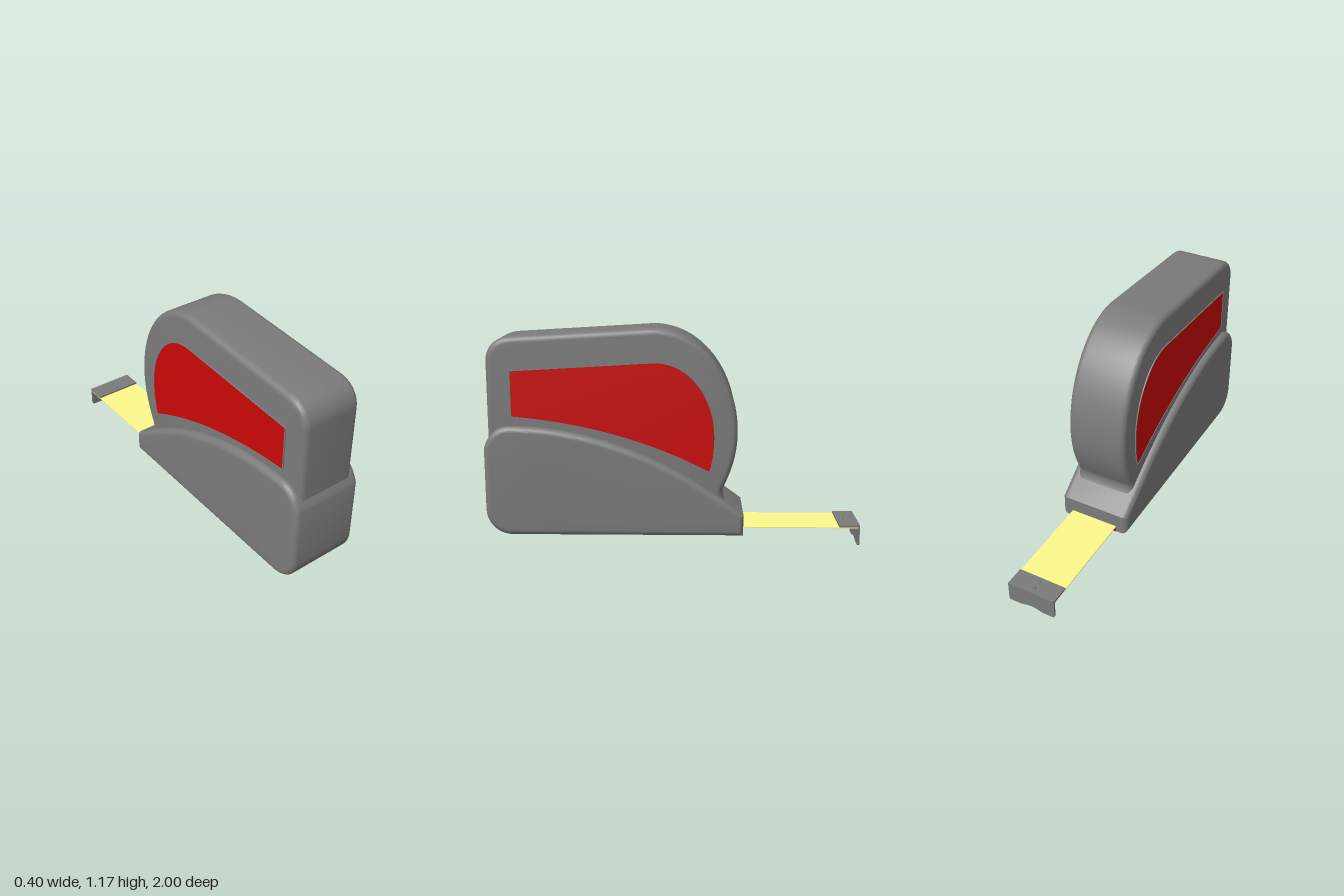
import * as THREE from 'three';
import { toCreasedNormals } from 'three/addons/utils/BufferGeometryUtils.js';

const grey = new THREE.MeshStandardMaterial({ color: 0x7b7b7b });
const red = new THREE.MeshStandardMaterial({ color: 0xcb0808 });
const yellow = new THREE.MeshStandardMaterial({ color: 0xfdf88b });

// Extrudes a side profile (drawn as -z, y) across x from x0 to x1.
function sideExtrude(shape, x0, x1, bevel) {
  const g = new THREE.ExtrudeGeometry(shape, {
    depth: x1 - x0 - 2 * bevel, curveSegments: 24,
    bevelEnabled: bevel > 0, bevelThickness: bevel, bevelSize: bevel,
    bevelOffset: -bevel, bevelSegments: 6,
  });
  g.translate(0, 0, x0 + bevel);
  g.rotateY(Math.PI / 2);
  return toCreasedNormals(g, 0.5);
}

export function createModel() {
  const model = new THREE.Group();
  model.name = 'tapeMeasure';
  const add = (name, geometry, material) => {
    const mesh = new THREE.Mesh(geometry, material);
    mesh.name = name;
    model.add(mesh);
    return mesh;
  };
  const box = (name, w, h, d, x, y, z, material) =>
    add(name, new THREE.BoxGeometry(w, h, d), material).position.set(x, y, z);

  // Upper case: sloping top running into a round back
  const upper = new THREE.Shape();
  upper.moveTo(-0.98, 0.35);
  upper.lineTo(0.22, 0.2);
  upper.lineTo(0.29, 0.23);
  upper.quadraticCurveTo(0.24, 0.28, 0.265, 0.325);
  upper.bezierCurveTo(0.31, 0.42, 0.337, 0.51, 0.337, 0.62);
  upper.bezierCurveTo(0.337, 0.92, 0.14, 1.17, -0.11, 1.17);
  upper.lineTo(-0.85, 1.126);
  upper.bezierCurveTo(-0.93, 1.12, -0.98, 1.07, -0.98, 0.99);
  upper.closePath();
  add('upperCase', sideExtrude(upper, -0.165, 0.165, 0.032), grey);

  // Lower case: wider grip with a curved top falling to the nose
  const lower = new THREE.Shape();
  lower.moveTo(-0.86, 0.067);
  lower.lineTo(0.372, 0.067);
  lower.lineTo(0.372, 0.18);
  lower.lineTo(0.24, 0.277);
  lower.quadraticCurveTo(-0.3, 0.658, -0.87, 0.658);
  lower.quadraticCurveTo(-0.965, 0.65, -1, 0.54);
  lower.lineTo(-1, 0.21);
  lower.bezierCurveTo(-1, 0.13, -0.94, 0.067, -0.86, 0.067);
  add('lowerCase', sideExtrude(lower, -0.2, 0.2, 0.032), grey);

  // Coloured panel on each side, inside a thin raised rim
  const panel = new THREE.Shape();
  panel.moveTo(-0.85, 0.708);
  panel.quadraticCurveTo(-0.28, 0.662, 0.188, 0.415);
  panel.bezierCurveTo(0.207, 0.48, 0.213, 0.53, 0.213, 0.6);
  panel.bezierCurveTo(0.213, 0.8, 0.087, 0.991, -0.1, 0.991);
  panel.lineTo(-0.85, 0.947);
  panel.closePath();
  const outline = panel.getPoints(24);
  const centre = new THREE.Vector2(-0.3, 0.75);
  const rim = new THREE.Shape(outline.map((p) => p.clone().sub(centre).multiplyScalar(1.01).add(centre)));
  rim.holes.push(new THREE.Path(outline));
  for (const [side, s] of [['left', 1], ['right', -1]]) {
    const span = (a, b) => (s > 0 ? [a, b] : [-b, -a]);
    add(side + 'Panel', sideExtrude(panel, ...span(0.15, 0.168), 0), red);
    add(side + 'PanelRim', sideExtrude(rim, ...span(0.15, 0.171), 0), grey);
  }

  // Blade, with the lock plate under its mouth
  box('blade', 0.27, 0.005, 0.75, 0, 0.1, -0.615, yellow);
  box('lockPlate', 0.27, 0.025, 0.122, 0, 0.0785, -0.3125, red);

  // End hook: top plate, scalloped lip and two rivets
  box('hookPlate', 0.27, 0.01, 0.105, 0, 0.108, -0.9425, grey);
  const lip = new THREE.Shape();
  lip.moveTo(-0.135, 0.113);
  lip.lineTo(-0.135, 0.015);
  lip.quadraticCurveTo(-0.135, 0, -0.12, 0);
  lip.lineTo(-0.075, 0);
  lip.bezierCurveTo(-0.045, 0, -0.035, 0.013, 0, 0.013);
  lip.bezierCurveTo(0.035, 0.013, 0.045, 0, 0.075, 0);
  lip.lineTo(0.12, 0);
  lip.quadraticCurveTo(0.135, 0, 0.135, 0.015);
  lip.lineTo(0.135, 0.113);
  lip.closePath();
  const lipGeometry = new THREE.ExtrudeGeometry(lip, { depth: 0.01, bevelEnabled: false });
  add('hookLip', toCreasedNormals(lipGeometry, 0.5), grey).position.z = -1;
  for (const z of [-0.92, -0.965]) {
    add('rivet', new THREE.CylinderGeometry(0.007, 0.01, 0.01, 16), grey).position.set(0, 0.117, z);
  }
  return model;
}
